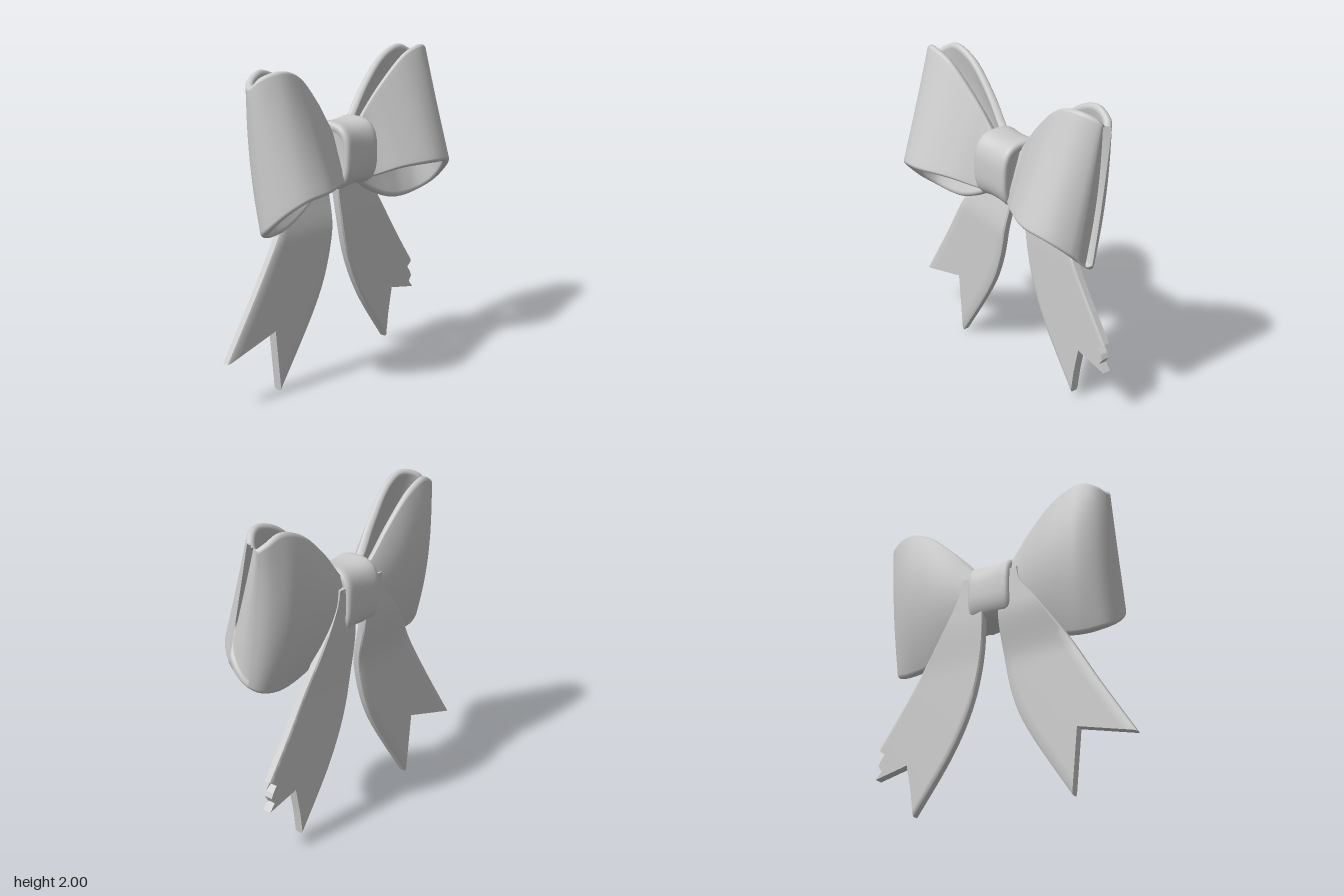
import * as THREE from 'three';
import { toCreasedNormals } from 'three/addons/utils/BufferGeometryUtils.js';

const CENTER = 0.055; // x of the knot
const CUT = 0.842;    // the left side is trimmed off at this x

const ribbon = new THREE.MeshStandardMaterial({ color: 0xcccccc, side: THREE.DoubleSide });
ribbon.name = 'ribbon grey';

const { smoothstep, lerp } = THREE.MathUtils;
const curve = (pts) => new THREE.CatmullRomCurve3(pts.map((p) => new THREE.Vector3(...p)));
const spline = (pts) => new THREE.SplineCurve(pts.map((p) => new THREE.Vector2(...p)));

// Lower and upper rims of a loop: distance from the knot, height, depth; front panel first, then round to the back
const lowerRim = curve([
  [0.05, 1.24, -0.03], [0.15, 1.25, 0.035], [0.30, 1.29, 0.14], [0.50, 1.30, 0.23], [0.65, 1.275, 0.205],
  [0.732, 1.20, 0.125], [0.758, 1.10, 0.02], [0.715, 1.035, -0.065], [0.61, 1.01, -0.10],
  [0.48, 1.025, -0.11], [0.30, 1.105, -0.125], [0.15, 1.215, -0.13], [0.05, 1.30, -0.125],
]);
const upperRim = curve([
  [0.05, 1.50, -0.07], [0.15, 1.60, -0.085], [0.30, 1.78, -0.06], [0.50, 1.96, -0.025], [0.64, 2.0, -0.02],
  [0.735, 1.97, -0.07], [0.758, 1.92, -0.115], [0.725, 1.95, -0.155], [0.63, 1.99, -0.172],
  [0.48, 1.94, -0.178], [0.30, 1.78, -0.17], [0.15, 1.60, -0.155], [0.05, 1.50, -0.14],
]);

// Surface through rows of points, each row a closed ring
function ringSurface(rows, flip, { keep = () => true, capped = false } = {}) {
  const n = rows[0].length, index = [];
  const quad = (a, b, c, d) => (flip ? index.push(a, c, b, a, d, c) : index.push(a, b, c, a, c, d));
  for (let i = 0; i < rows.length - 1; i++) {
    for (let j = 0; j < n; j++) {
      const k = (j + 1) % n;
      if (keep(i, j)) quad(i * n + j, (i + 1) * n + j, (i + 1) * n + k, i * n + k);
    }
  }
  if (capped) {
    const last = (rows.length - 1) * n;
    for (let j = 0; j < n / 2 - 1; j++) {
      quad(j, j + 1, n - 2 - j, n - 1 - j);
      quad(last + j, last + n - 1 - j, last + n - 2 - j, last + j + 1);
    }
  }
  const g = new THREE.BufferGeometry().setFromPoints(rows.flat());
  g.setIndex(index);
  g.computeVertexNormals();
  return g;
}

// Point on the middle of the loop band; the back panel bulges backward, less so towards the knot
function bandPoint(t, s) {
  const p = lowerRim.getPoint(t).lerp(upperRim.getPoint(t), s);
  const bulge = 0.078 * smoothstep(t, 0.5, 0.7) - 0.045 * smoothstep(t, 0.76, 0.95);
  p.z -= bulge * 4 * s * (1 - s);
  return p;
}

// Thick band with rounded rims
function makeLoop(side) {
  const half = 0.024, steps = 88, e = 0.004, r = 0.03;
  const rim = [0, 1, 2, 3, 4].map((j) => j * Math.PI / 8).map((a) => [r * (1 - Math.cos(a)), Math.sin(a)]);
  const outer = [...rim];
  for (let j = 1; j < 14; j++) outer.push([lerp(r, 1 - r, j / 14), 1]);
  outer.push(...rim.map(([s, o]) => [1 - s, o]).reverse());
  const ring = [...outer, ...outer.slice(1, -1).reverse().map(([s, o]) => [s, -o])];
  const stretch = side > 0 ? 1.03 : 1;
  const rows = [];
  for (let i = 0; i <= steps; i++) {
    const t = i / steps;
    rows.push(ring.map(([s, o]) => {
      const p = bandPoint(t, s);
      const dt = bandPoint(Math.min(1, t + e), s).sub(bandPoint(Math.max(0, t - e), s));
      const ds = bandPoint(t, Math.min(1, s + e)).sub(bandPoint(t, Math.max(0, s - e)));
      p.addScaledVector(dt.cross(ds).normalize(), half * o);
      p.x = Math.min(CENTER + side * p.x * stretch, CUT + 0.003);
      return p;
    }));
  }
  // the outer skin is open where it is trimmed
  const keep = (i, j) => j >= outer.length - 1 || rows[i][j].x < CUT || rows[i + 1][j].x < CUT;
  return ringSurface(rows, side < 0, { keep });
}

// Knot: rounded-box sections with a slightly pinched waist and soft rolled ends
function makeKnot() {
  const half = [[0, 0.955], [0.045, 0.962], [0.085, 0.985], [0.11, 1], [0.127, 0.988], [0.139, 0.95], [0.145, 0.88], [0.141, 0.79], [0.128, 0.7]];
  const profile = [...half.slice(1).reverse().map(([x, k]) => [-x, k]), ...half];
  const sq = (v) => Math.sign(v) * Math.abs(v) ** 0.7;
  const rows = profile.map(([x, k]) => {
    const row = [];
    for (let j = 0; j < 48; j++) {
      const a = (j / 48) * Math.PI * 2;
      row.push(new THREE.Vector3(CENTER + x, 1.415 + 0.207 * k * sq(Math.sin(a)), -0.085 + 0.167 * k * sq(Math.cos(a))));
    }
    return row;
  });
  return ringSurface(rows, true, { capped: true });
}

// Tail: flat band between two edges, running down to a notched end line, leaning back behind the knot
function makeTail(innerEdge, outerEdge, notch, zAt, flip) {
  const inner = spline(innerEdge), outer = spline(outerEdge), steps = 40, h = 0.0275;
  const a = inner.getPoint(1), chord = outer.getPoint(1).sub(a);
  // end line points with their place v across the band
  const end = [innerEdge.at(-1), ...notch, outerEdge.at(-1)].map(([x, y]) => {
    const p = new THREE.Vector2(x, y);
    return { p, v: p.clone().sub(a).dot(chord) / chord.lengthSq() };
  });
  const endPoint = (v) => {
    const k = Math.max(1, end.findIndex((q) => q.v >= v - 1e-6));
    const [q0, q1] = [end[k - 1], end[k]];
    return q0.p.clone().lerp(q1.p, (v - q0.v) / (q1.v - q0.v));
  };
  const across = [[0, 0.7 * h], [0.025, h]];
  for (let k = 1; k < end.length; k++) {
    for (const f of [0.25, 0.5, 0.75, 1]) {
      const v = lerp(end[k - 1].v, end[k].v, f);
      if (v > 0.026 && v < 0.974) across.push([v, h]);
    }
  }
  across.push([0.975, h], [1, 0.7 * h]);
  const ring = [...across, ...across.map(([v, z]) => [v, -z]).reverse()];
  const rows = [];
  for (let i = 0; i <= steps; i++) {
    const t = i / steps, p0 = inner.getPointAt(t), p1 = outer.getPointAt(t);
    rows.push(ring.map(([v, z]) => {
      const shift = endPoint(v).sub(a).addScaledVector(chord, -v);
      const p = p0.clone().lerp(p1, v).addScaledVector(shift, t ** 4);
      return new THREE.Vector3(p.x, p.y, z + zAt(p.x, p.y));
    }));
  }
  return toCreasedNormals(ringSurface(rows, flip, { capped: true }), 0.7);
}

export function createModel() {
  const group = new THREE.Group();
  group.name = 'ribbonBow';
  const add = (name, geometry) => {
    const m = new THREE.Mesh(geometry, ribbon);
    m.name = name;
    group.add(m);
  };
  add('leftLoop', makeLoop(1));
  add('rightLoop', makeLoop(-1));
  add('knot', makeKnot());

  const lean = (y) => smoothstep(y, 0.9, 1.28);
  add('rightTail', makeTail(
    [[-0.01, 1.52], [0.003, 1.25], [-0.015, 0.95], [-0.08, 0.67], [-0.2, 0.42], [-0.475, 0.0]],
    [[-0.14, 1.52], [-0.165, 1.42], [-0.27, 1.28], [-0.45, 1.01], [-0.66, 0.66], [-0.895, 0.29]],
    [[-0.515, 0.4]],
    (x, y) => -0.13 + 0.065 * (x + 0.1) - 0.062 * lean(y), true));
  // this tail has a torn tip
  add('leftTail', makeTail(
    [[0.12, 1.52], [0.1, 1.22], [0.13, 0.93], [0.2, 0.66], [0.34, 0.38], [0.58, 0.045]],
    [[0.25, 1.52], [0.275, 1.42], [0.36, 1.26], [0.515, 1.01], [0.67, 0.77], [0.85, 0.515]],
    [[0.6, 0.2], [0.635, 0.375], [0.86, 0.325], [0.82, 0.37], [0.845, 0.41], [0.83, 0.44], [0.79, 0.47]],
    (x, y) => -0.178 - 0.017 * lean(y), false));
  return group;
}
